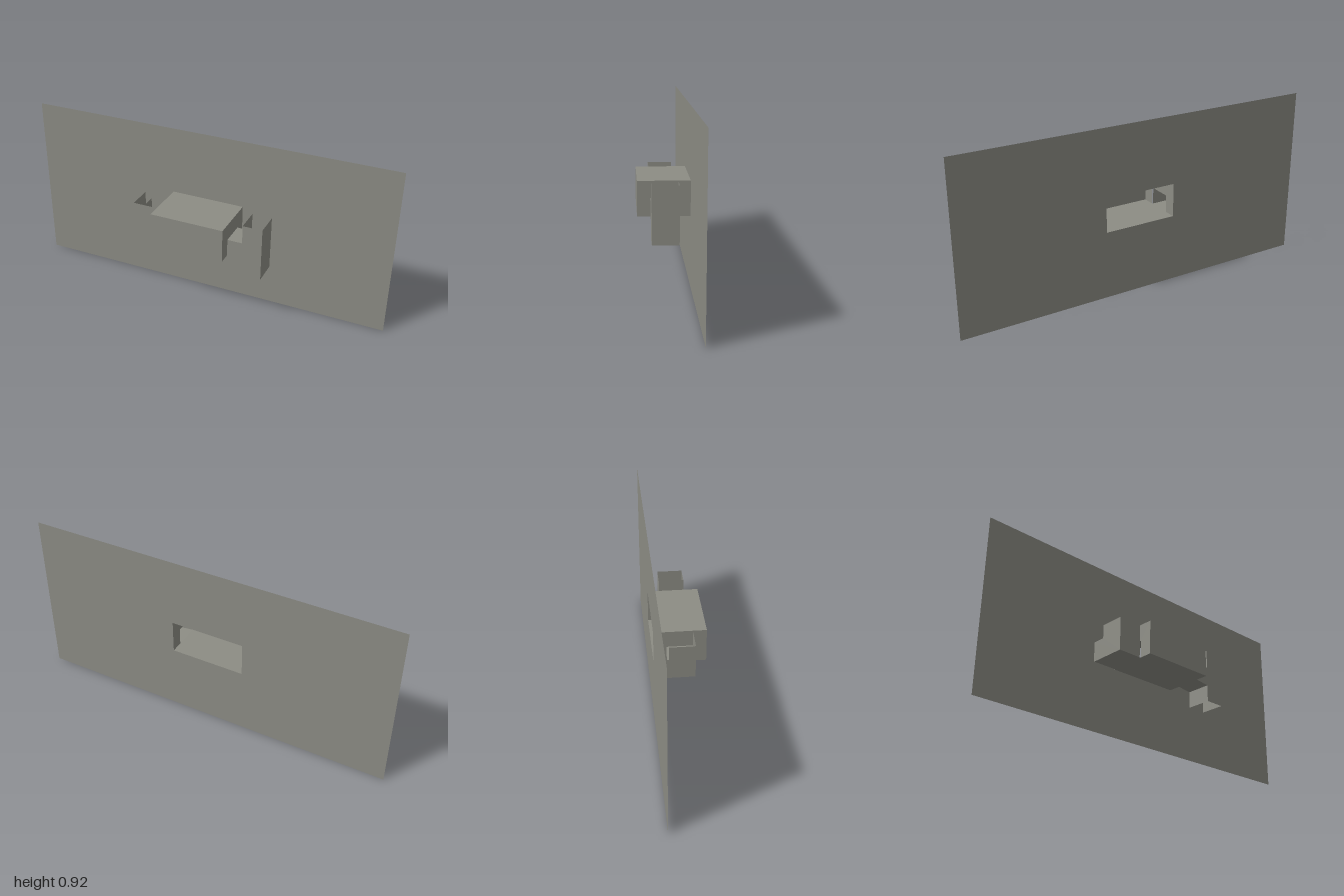
import * as THREE from 'three';

export function createModel() {
  const group = new THREE.Group();
  const grey = new THREE.MeshStandardMaterial({ color: 0x8c8c84, side: THREE.DoubleSide });
  grey.name = 'warm grey';

  const add = (name, geometry) => {
    const mesh = new THREE.Mesh(geometry, grey);
    mesh.name = name;
    group.add(mesh);
    return mesh;
  };
  // Flat outline from [a, b] points, with optional holes
  const flat = (points, ...holes) => {
    const toV = (p) => p.map(([a, b]) => new THREE.Vector2(a, b));
    const shape = new THREE.Shape(toV(points));
    holes.forEach((h) => shape.holes.push(new THREE.Path(toV(h))));
    return new THREE.ShapeGeometry(shape);
  };
  const rect = (a0, a1, b0, b1) => [[a0, b0], [a1, b0], [a1, b1], [a0, b1]];
  // Sheets facing z (points x, y), x (points z, y) and y (points x, z)
  const sheetZ = (name, z, ...outline) => add(name, flat(...outline).translate(0, 0, z));
  const sheetX = (name, x, ...outline) => add(name,
    flat(...outline.map((o) => o.map(([z, y]) => [-z, y]))).rotateY(Math.PI / 2).translate(x, 0, 0));
  const sheetY = (name, y, ...outline) => add(name,
    flat(...outline.map((o) => o.map(([x, z]) => [x, -z]))).rotateX(-Math.PI / 2).translate(0, y, 0));

  const back = -0.134, front = 0.134, w = 0.067;
  const y0 = 0.367, y1 = 0.548;

  // Thin panel, cut through where the housing opens at the back
  sheetZ('panel', back, rect(-1, 1, 0, 0.917), rect(-0.2, 0.2, y0, y1));

  // Hollow housing with a passage through each end
  sheetZ('housingFront', front, rect(-0.2, 0.2, y0, y1));
  sheetY('housingTop', y1, rect(-0.2, 0.2, back, front));
  sheetY('housingFloor', y0, rect(-0.2, 0.2, back, front));
  for (const s of [-1, 1]) {
    sheetX('housingEnd', s * 0.2,
      [[back, y0], [-w, y0], [-w, 0.46], [w, 0.46], [w, y0], [front, y0], [front, y1], [back, y1]]);
  }

  // Hollow neck with a slightly falling underside
  const neck = [[0.2, y0], [0.28, 0.358], [0.28, 0.46], [0.2, 0.46]];
  for (const z of [-w, w]) sheetZ('neckSide', z, neck);
  sheetY('neckTop', 0.46, rect(0.2, 0.28, -w, w));
  const underside = new THREE.PlaneGeometry(Math.hypot(0.08, 0.009), 2 * w).rotateX(Math.PI / 2);
  underside.rotateZ(Math.atan2(-0.009, 0.08)).translate(0.24, (y0 + 0.358) / 2, 0);
  add('neckUnderside', underside);

  // Upright handle, open at top and bottom
  for (const z of [-w, w]) sheetZ('handleFace', z, rect(0.28, 0.385, 0.268, 0.561));
  sheetX('handleOuterSide', 0.385, rect(-w, w, 0.268, 0.561));
  sheetX('handleInnerSide', 0.28, rect(-w, w, 0.268, 0.561), rect(-w + 0.001, w - 0.001, 0.358, 0.46));

  // Open latch at the other end, with a stepped outer wall
  sheetZ('latchFront', 0.064, rect(-0.335, -0.205, y0, y1));
  sheetX('latchOuterSide', -0.335,
    [[back, y0], [0.064, y0], [0.064, y1], [-w, y1], [-w, 0.475], [back, 0.475]]);
  sheetY('latchFloor', y0, rect(-0.335, -0.2, -0.13, 0.064));

  return group;
}
